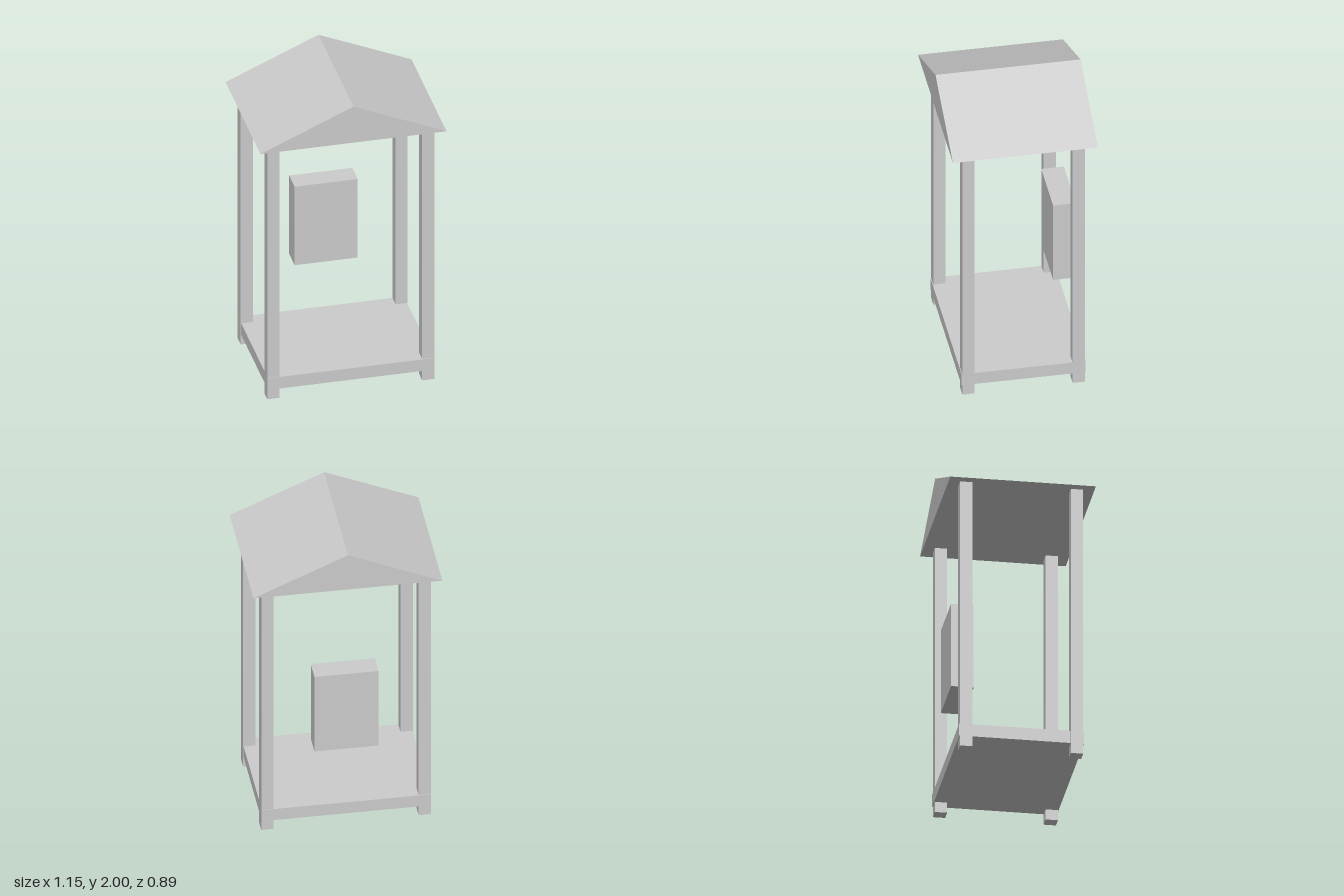
import * as THREE from 'three';

export function createModel() {
  const group = new THREE.Group();
  const material = new THREE.MeshStandardMaterial({ color: 0xcccccc, flatShading: true });

  const add = (name, geometry, x, y, z) => {
    const mesh = new THREE.Mesh(geometry, material);
    mesh.name = name;
    mesh.position.set(x, y, z);
    group.add(mesh);
  };
  const box = (name, w, h, d, x, y, z) => add(name, new THREE.BoxGeometry(w, h, d), x, y, z);

  // Four corner posts, running from the ground to the eaves
  for (const [side, x] of [['Left', 0.479], ['Right', -0.479]]) {
    for (const [end, z] of [['front', 0.337], ['back', -0.337]]) {
      box(`${end}${side}Post`, 0.075, 1.75, 0.075, x, 0.875, z);
    }
  }

  // Raised floor, just proud of the posts at front and back
  box('floor', 1.026, 0.08, 0.758, 0, 0.107, 0);

  // Cabinet hanging between the back posts
  box('cabinet', 0.39, 0.545, 0.138, -0.002, 0.813, -0.309);

  // Solid gable roof with its ridge running front to back
  const gable = new THREE.Shape([
    new THREE.Vector2(-0.575, 0),
    new THREE.Vector2(0.575, 0),
    new THREE.Vector2(0, 0.25),
  ]);
  add('roof', new THREE.ExtrudeGeometry(gable, { depth: 0.886, bevelEnabled: false }), 0, 1.75, -0.443);

  return group;
}
